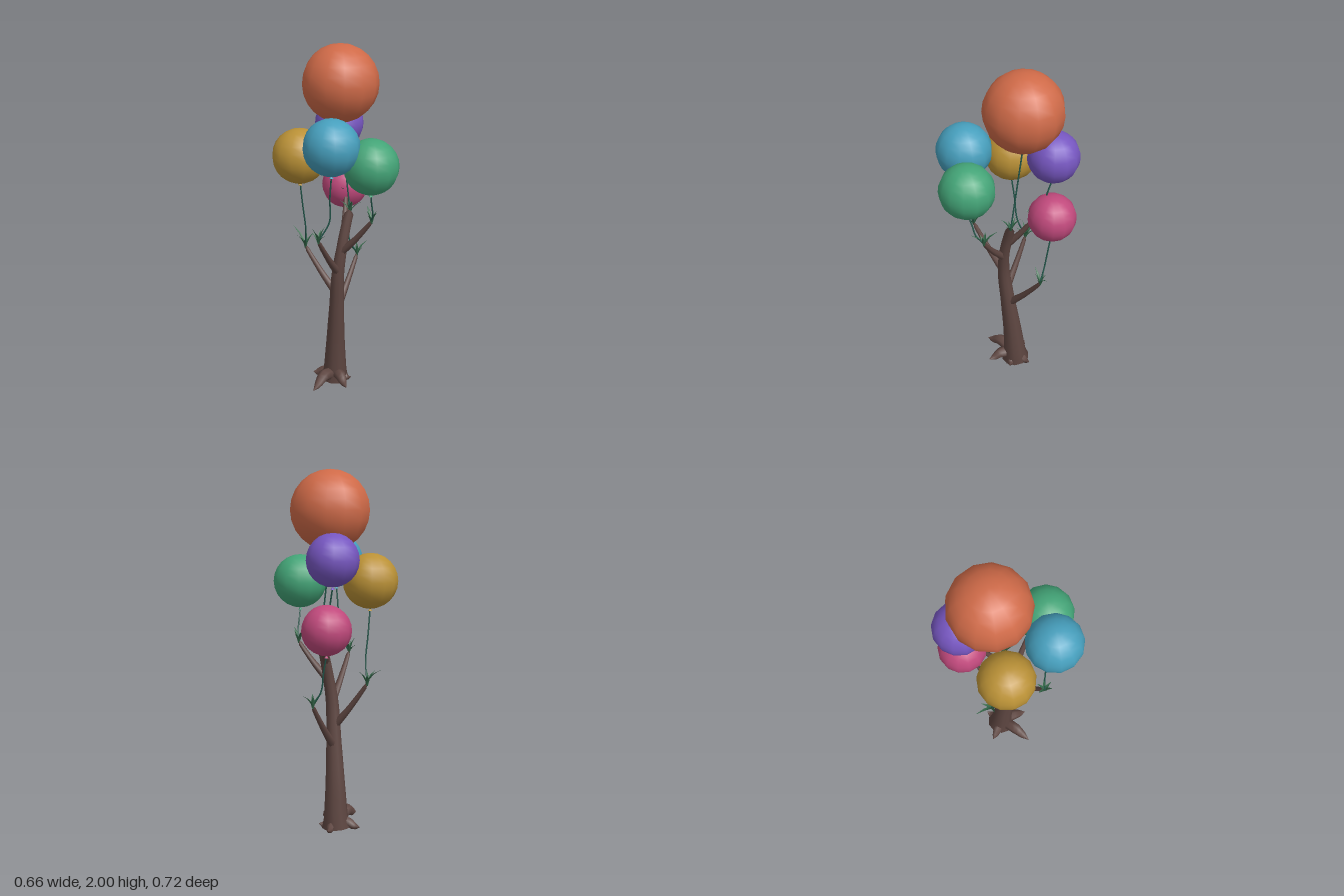
import * as THREE from 'three';

const V = (a) => new THREE.Vector3(a[0], a[1], a[2]);
const mat = (color, side = THREE.FrontSide) => new THREE.MeshStandardMaterial({ color, side });
const bark = mat(0x5f4742);
const stringMat = mat(0x24584c);
const leafMat = mat(0x35694a, THREE.DoubleSide);

// Tube along points [x, y, z, radius], its radius blended between the points
function taperTube(points, steps, sides) {
  const curve = new THREE.CatmullRomCurve3(points.map(V));
  const geo = new THREE.TubeGeometry(curve, steps, 1, sides);
  const pos = geo.attributes.position;
  const v = new THREE.Vector3();
  for (let i = 0; i <= steps; i++) {
    const u = i / steps;
    const centre = curve.getPointAt(u);
    const t = curve.getUtoTmapping(u) * (points.length - 1);
    const k = Math.min(Math.floor(t), points.length - 2);
    const r = THREE.MathUtils.lerp(points[k][3], points[k + 1][3], t - k);
    for (let j = 0; j <= sides; j++) {
      const n = i * (sides + 1) + j;
      v.fromBufferAttribute(pos, n).sub(centre).multiplyScalar(r).add(centre);
      pos.setXYZ(n, v.x, v.y, v.z);
    }
  }
  return geo;
}

// Curved, pointed, slightly folded grass blade growing outward at an angle
function blade(length, lean, angle) {
  const pos = [];
  const index = [];
  const widths = [0.005, 0.009, 0.007, 0];
  widths.forEach((w, i) => {
    const t = i / (widths.length - 1);
    const out = length * lean * t * t;
    const y = length * t * (1 - 0.2 * lean * t);
    pos.push(out, y, -w, out + w * 0.7, y, 0, out, y, w);
    if (i) {
      const b = (i - 1) * 3;
      for (const c of [b, b + 1]) index.push(c, c + 3, c + 1, c + 1, c + 3, c + 4);
    }
  });
  const geo = new THREE.BufferGeometry();
  geo.setAttribute('position', new THREE.Float32BufferAttribute(pos, 3));
  geo.setIndex(index);
  geo.rotateY(angle);
  geo.computeVertexNormals();
  return geo;
}

export function createModel() {
  const model = new THREE.Group();
  const add = (name, geo, material, parent = model) => {
    const mesh = new THREE.Mesh(geo, material);
    mesh.name = name;
    parent.add(mesh);
    return mesh;
  };

  // Leaning trunk, flared at the foot and closed at the top
  add('trunk', taperTube([
    [0.02, 0.01, -0.105, 0.085], [0.02, 0.06, -0.1, 0.07], [0.012, 0.25, -0.085, 0.056],
    [-0.002, 0.5, -0.058, 0.043], [-0.01, 0.72, -0.035, 0.036], [0.008, 0.86, -0.025, 0.031],
    [0.043, 1.0, -0.025, 0.028], [0.072, 1.085, -0.025, 0.025], [0.073, 1.088, -0.025, 0],
  ], 40, 10), bark);

  // Claw-like roots: [tip x, tip z, arch height, thickness]
  const roots = [
    [-0.2, -0.04, 0.07, 0.036], [-0.03, 0.06, 0.06, 0.034],
    [0.125, -0.14, 0.03, 0.03], [-0.05, -0.225, 0.04, 0.03], [0.08, -0.02, 0.025, 0.026],
  ];
  roots.forEach(([x, z, h, r]) => {
    const at = (t, y, rad) => [0.015 + (x - 0.015) * t, y, -0.1 + (z + 0.1) * t, rad];
    add('root', taperTube([at(0.15, 0.05, r), at(0.5, h, r), at(0.78, h * 0.55, r * 0.65), at(1, 0.02, 0)], 10, 7), bark);
  });

  // Each balloon with its branch (base to tip) and the path of its string
  const balloons = [
    { name: 'orange', color: 0xcf6a48, centre: [0.067, 1.788, -0.1], r: 0.213,
      tip: [0.072, 1.08, -0.025], sway: [0.0, 0.0] },
    { name: 'blue', color: 0x469fbd, centre: [-0.18, 1.505, 0.11], r: 0.152,
      base: [-0.01, 0.72, -0.035], tip: [-0.215, 0.98, 0.04], sway: [0.06, 0.03] },
    { name: 'green', color: 0x43a477, centre: [0.01, 1.39, 0.21], r: 0.151,
      base: [0.005, 0.85, -0.02], tip: [0.075, 1.06, 0.15], sway: [-0.01, 0.03] },
    { name: 'gold', color: 0xba9136, centre: [-0.16, 1.405, -0.18], r: 0.153,
      base: [-0.005, 0.58, -0.05], tip: [-0.085, 0.85, -0.235], sway: [-0.01, 0.04] },
    { name: 'purple', color: 0x7656c0, centre: [0.167, 1.535, -0.225], r: 0.14,
      base: [0.035, 0.96, -0.03], tip: [0.135, 1.15, -0.13], sway: [0.015, -0.03] },
    { name: 'pink', color: 0xc0497c, centre: [0.197, 1.17, -0.21], r: 0.134,
      base: [0.01, 0.48, -0.065], tip: [0.222, 0.755, -0.13], sway: [-0.025, -0.03] },
  ];

  balloons.forEach(({ name, color, centre, r, base, tip, sway }, n) => {
    const group = new THREE.Group();
    group.name = name + 'BalloonBranch';
    model.add(group);

    // Branch bowing slightly downward toward its tip
    if (base) {
      const mid = V(base).lerp(V(tip), 0.5);
      add('branch', taperTube([
        [...base, 0.024], [mid.x, mid.y - 0.012, mid.z, 0.017],
        [...tip, 0.01], [tip[0], tip[1] + 0.004, tip[2], 0],
      ], 12, 7), bark, group);
    }

    // Balloon and its knot
    const ball = add('balloon', new THREE.SphereGeometry(r, 13, 12), mat(color), group);
    ball.position.set(...centre);
    ball.rotation.y = n;
    const bottom = centre[1] - r;
    const knot = add('knot', new THREE.ConeGeometry(0.011, 0.018, 8), mat(color), group);
    knot.position.set(centre[0], bottom - 0.004, centre[2]);

    // Swaying string from the tip to the knot
    const along = (t, s) => [
      THREE.MathUtils.lerp(tip[0], centre[0], t) + sway[0] * s,
      THREE.MathUtils.lerp(tip[1], bottom, t),
      THREE.MathUtils.lerp(tip[2], centre[2], t) + sway[1] * s, 0.0045];
    add('string', taperTube([along(0, 0), along(0.3, 0.6), along(0.65, 0.25), along(1, 0)], 18, 5), stringMat, group);

    // Tuft of grass blades at the branch tip
    const tuft = new THREE.Group();
    tuft.name = 'leafTuft';
    tuft.position.set(tip[0], tip[1] - 0.015, tip[2]);
    group.add(tuft);
    for (let i = 0; i < 6; i++) {
      add('leaf', blade(0.065 + 0.017 * ((i * 2 + n) % 3), 0.35 + 0.2 * ((i + n) % 3), i * 1.05 + n * 0.6), leafMat, tuft);
    }
    // One long blade reaching backward
    if (name === 'gold') add('leaf', blade(0.13, 0.85, Math.PI / 2), leafMat, tuft);
  });

  return model;
}
